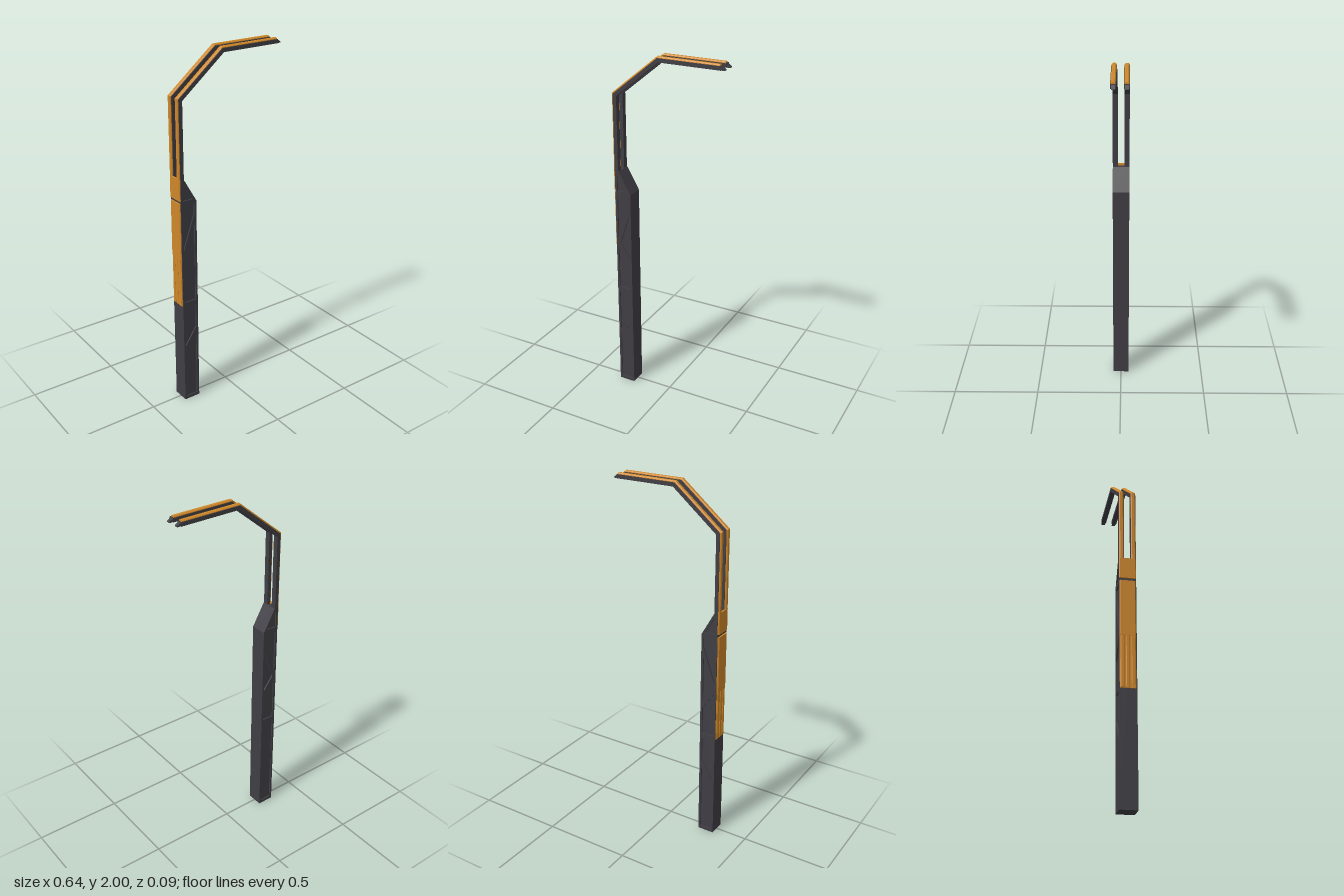
import * as THREE from 'three';

const dark = new THREE.MeshStandardMaterial({ name: 'charcoal', color: 0x403e44 });
const amber = new THREE.MeshStandardMaterial({ name: 'amber', color: 0xcf8829 });
dark.flatShading = amber.flatShading = true;

function add(group, name, geometry, material) {
  const mesh = new THREE.Mesh(geometry, material);
  mesh.name = name;
  group.add(mesh);
  return mesh;
}

const points = (list) => list.map(([x, y]) => new THREE.Vector2(x, y));

// Extrudes an outline in the xy plane from z0 to z1
function plate(outline, z0, z1, holes = []) {
  const shape = new THREE.Shape(points(outline));
  holes.forEach((h) => shape.holes.push(new THREE.Path(points(h))));
  return new THREE.ExtrudeGeometry(shape, { depth: z1 - z0, bevelEnabled: false }).translate(0, 0, z0);
}

// Sweeps a convex section of [z, outward offset] along an xy path with mitred bends
function sweep(path, section) {
  const pts = points(path);
  const normals = pts.slice(1).map((p, i) => {
    const t = p.clone().sub(pts[i]).normalize();
    return new THREE.Vector2(-t.y, t.x);
  });
  const rings = pts.map((p, i) => {
    const a = normals[Math.max(i - 1, 0)];
    const b = normals[Math.min(i, normals.length - 1)];
    const m = a.clone().add(b).divideScalar(1 + a.dot(b));
    return section.map(([z, d]) => [p.x + m.x * d, p.y + m.y * d, z]);
  });
  const out = [];
  const tri = (a, b, c) => out.push(...a, ...b, ...c);
  const n = section.length;
  for (let k = 0; k < rings.length - 1; k++) {
    for (let i = 0; i < n; i++) {
      const j = (i + 1) % n;
      tri(rings[k][i], rings[k + 1][i], rings[k + 1][j]);
      tri(rings[k][i], rings[k + 1][j], rings[k][j]);
    }
  }
  const last = rings[rings.length - 1];
  for (let i = 1; i < n - 1; i++) {
    tri(rings[0][0], rings[0][i], rings[0][i + 1]);
    tri(last[0], last[i + 1], last[i]);
  }
  const g = new THREE.BufferGeometry();
  g.setAttribute('position', new THREE.Float32BufferAttribute(out, 3));
  g.computeVertexNormals();
  return g;
}

// Raised strip section with chamfered edges
const chamfered = (z, half, height, bevel) => [
  [z - half, -0.002], [z + half, -0.002], [z + half, height - bevel],
  [z + half - bevel, height], [z - half + bevel, height], [z - half, height - bevel],
];

export function createModel() {
  const group = new THREE.Group();
  const back = -0.314;

  // Post core, with a sloped shoulder
  const outline = [[back, 0], [-0.219, 0], [-0.219, 1.22], [-0.29, 1.345], [back, 1.345]];
  add(group, 'postCore', plate(outline, -0.039, 0.039), dark);

  // Side frames with diagonal braces, mirrored on both faces
  const l = -0.302, r = -0.231;
  const openings = [
    [[l, 0.018], [r, 0.018], [r, 0.41], [l, 0.31]],
    [[l, 0.355], [r, 0.46], [r, 0.598], [l, 0.598]],
    [[l, 0.632], [r, 0.632], [r, 0.79], [l, 0.89]],
    [[l + 0.012, 0.915], [r, 0.835], [r, 1.09]],
    [[l, 0.945], [r, 1.15], [r, 1.2], [l, 1.2]],
    [[l, 1.232], [-0.24, 1.232], [-0.289, 1.318], [l, 1.318]],
  ];
  for (const [z0, z1] of [[0.038, 0.047], [-0.047, -0.038]]) {
    add(group, 'sideFrame', plate(outline, z0, z1, openings), dark);
  }

  // Cover plates up the back of the post
  add(group, 'backCover', sweep([[back, 0.9], [back, 1.22]], chamfered(0, 0.043, 0.008, 0.005)), amber);
  add(group, 'collarCover', sweep([[back, 1.235], [back, 1.355]], chamfered(0, 0.046, 0.008, 0.005)), amber);
  add(group, 'lowerCover', sweep([[back, 0.612], [back, 0.91]], chamfered(0, 0.042, 0.004, 0.002)), amber);
  for (const z of [-0.028, 0, 0.028]) {
    add(group, 'coverRib', sweep([[back, 0.615], [back, 0.905]], chamfered(z, 0.01, 0.0075, 0.003)), amber);
  }

  // Twin bent rails with raised strips and wedge tips
  const bend = [[back, 1.775], [-0.048, 1.992]];
  for (const side of [1, -1]) {
    const z = side * 0.0325;
    const rail = [[z - 0.0145, -0.021], [z + 0.0145, -0.021], [z + 0.0145, 0], [z - 0.0145, 0]];
    add(group, 'rail', sweep([[back, 1.335], ...bend, [0.303, 1.992]], rail), dark);
    add(group, 'railStrip', sweep([[back, 1.34], ...bend, [0.297, 1.992]], chamfered(z, 0.012, 0.008, 0.005)), amber);
    const tip = [[0.3, 1.971], [0.322, 1.971], [0.322, 1.975], [0.303, 1.99], [0.3, 1.99]];
    add(group, 'railTip', plate(tip, z - 0.01, z + 0.01), dark);
  }
  return group;
}
